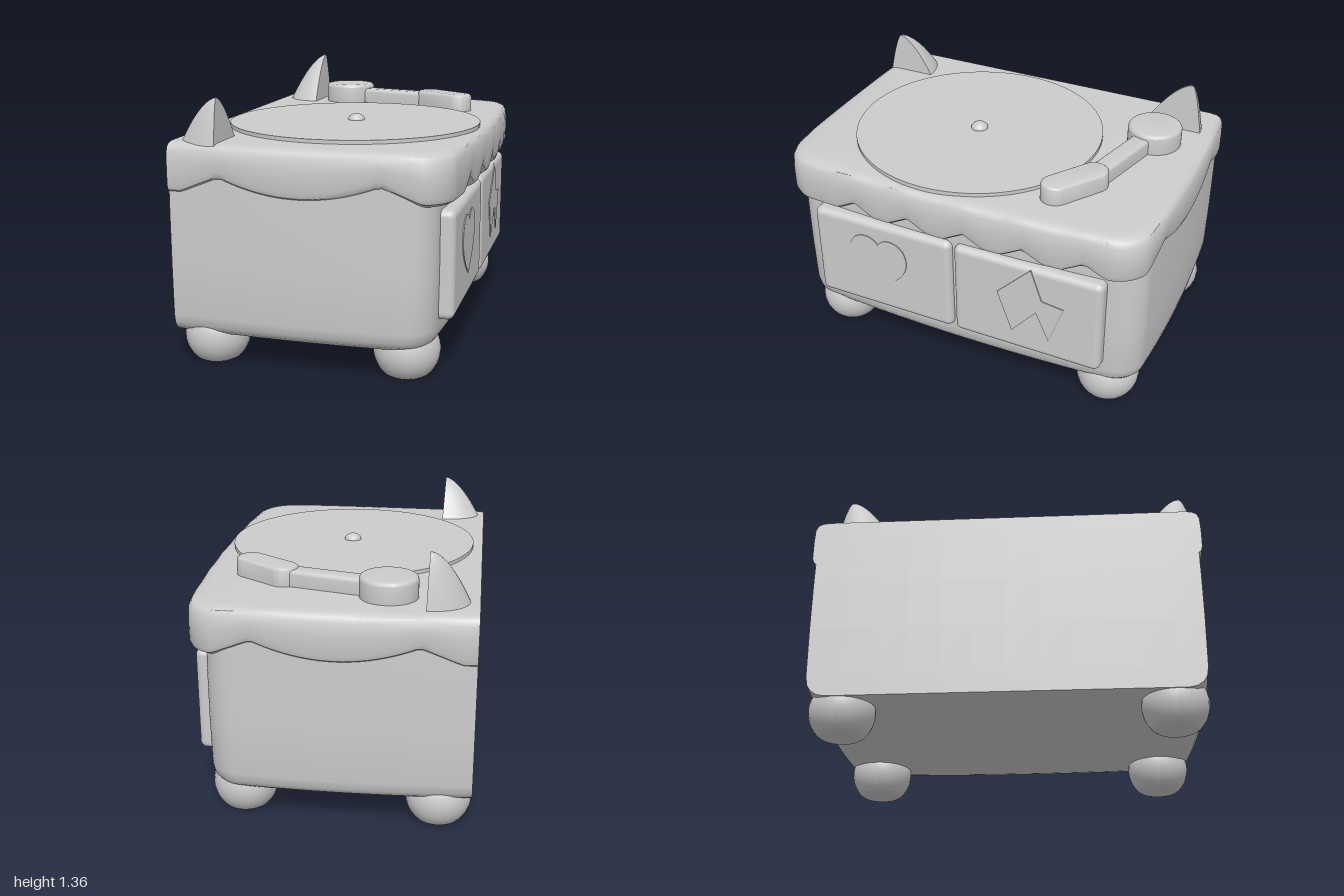
import * as THREE from 'three';
import { toCreasedNormals } from 'three/addons/utils/BufferGeometryUtils.js';
import { RoundedBoxGeometry } from 'three/addons/geometries/RoundedBoxGeometry.js';

const BACK = -0.69;

// Skin a stack of closed rings (bottom to top) and cap both ends
function loft(rings, crease = 0.65) {
  const n = rings[0].length, pos = [], idx = [];
  rings.forEach(r => r.forEach(p => pos.push(p.x, p.y, p.z)));
  for (let r = 0; r < rings.length - 1; r++) {
    for (let i = 0; i < n; i++) {
      const a = r * n + i, b = r * n + (i + 1) % n;
      idx.push(a, b, b + n, a, b + n, a + n);
    }
  }
  for (const r of [0, rings.length - 1]) {
    const c = new THREE.Vector3();
    rings[r].forEach(p => c.addScaledVector(p, 1 / n));
    const ci = pos.length / 3;
    pos.push(c.x, c.y, c.z);
    for (let i = 0; i < n; i++) {
      const a = r * n + i, b = r * n + (i + 1) % n;
      if (r === 0) idx.push(ci, b, a); else idx.push(ci, a, b);
    }
  }
  const g = new THREE.BufferGeometry();
  g.setAttribute('position', new THREE.Float32BufferAttribute(pos, 3));
  g.setIndex(idx);
  return toCreasedNormals(g, crease);
}

// Cabinet outline: square back corners, round front corners, bulging sides
function outline(front, half, inset, radius, yAt) {
  const xf = front - inset, zh = half - inset, pts = [];
  const add = (x, z) => {
    const u = (x - BACK) / (xf - BACK);
    const px = x - 0.045 * z * z * u * u;
    const pz = z * (1 - 0.035 * Math.pow(x / 0.7, 2));
    pts.push(new THREE.Vector3(px, yAt(px, pz, u), pz));
  };
  const half1 = [];
  for (let i = 0; i <= 40; i++) half1.push([BACK + (xf - radius - BACK) * i / 40, zh]);
  for (let i = 1; i <= 10; i++) {
    const a = i / 10 * Math.PI / 2;
    half1.push([xf - radius + radius * Math.sin(a), zh - radius + radius * Math.cos(a)]);
  }
  half1.forEach(([x, z]) => add(x, z));
  for (let i = 1; i < 80; i++) add(xf, (zh - radius) * (1 - i / 40));
  half1.reverse().forEach(([x, z]) => add(x, -z));
  for (let i = 1; i < 12; i++) add(BACK, -zh * (1 - i / 6));
  return pts;
}

// Lower edge of the lid skirt: swags along the sides, small points along the front
function skirtY(x, z, u) {
  if (u > 0.97 && Math.abs(z) < 0.84) {
    let lift = 0;
    for (let k = 0; k < 5; k++) lift = Math.max(lift, 1 - Math.abs(z - 0.54 + 0.31 * k) / 0.11);
    return 0.885 + 0.06 * lift;
  }
  if (Math.abs(z) < 0.85) return 0.885;
  const d = Math.abs(x + 0.04) / 0.39;
  return 0.885 + 0.08 * (d < 1 ? d * d : Math.max(0, 1 - (d - 1) / 0.5));
}

// Upright slab with round ends running between two points on the lid
function bar(x1, z1, x2, z2, r, bottom, top) {
  const a = Math.atan2(-(z2 - z1), x2 - x1), s = new THREE.Shape();
  s.absarc(x2, -z2, r, a - Math.PI / 2, a + Math.PI / 2);
  s.absarc(x1, -z1, r, a + Math.PI / 2, a + Math.PI * 1.5);
  const b = 0.02;
  const g = new THREE.ExtrudeGeometry(s, {
    depth: top - bottom - 2 * b, bevelThickness: b, bevelSize: b, bevelOffset: -b,
    bevelSegments: 4, curveSegments: 20,
  });
  g.rotateX(-Math.PI / 2).translate(0, bottom + b, 0);
  return toCreasedNormals(g, 0.6);
}

// Ear: flat on its front, rounded on its back, narrowing to a blunt tip
function ear(z0, z1, tipZ, base, top, depth) {
  const rings = [];
  for (let i = 0; i <= 14; i++) {
    const t = Math.sin(i / 14 * Math.PI / 2);
    const w = Math.max(0.004, Math.pow(1 - t, 0.62));
    const mid = THREE.MathUtils.lerp(tipZ, (z0 + z1) / 2, w);
    const ring = [];
    for (let k = 0; k <= 20; k++) {
      const a = k / 20 * Math.PI;
      ring.push(new THREE.Vector3(
        -0.447 - 0.01 * t - depth * w * Math.sin(a),
        base + (top - base) * t,
        mid - (z1 - z0) / 2 * w * Math.cos(a)));
    }
    rings.push(ring);
  }
  return loft(rings);
}

// Thin plate on a drawer front, drawn in (z, y)
function plate(shape) {
  const g = new THREE.ExtrudeGeometry(shape, { depth: 0.008, bevelEnabled: false, curveSegments: 16 });
  return g.rotateY(Math.PI / 2).translate(0.66, 0, 0);
}

export function createModel() {
  const model = new THREE.Group();
  const grey = new THREE.MeshStandardMaterial({ color: 0xcccccc });
  grey.name = 'plain grey';
  const add = (name, geometry, parent = model) => {
    const m = new THREE.Mesh(geometry, grey);
    m.name = name;
    parent.add(m);
    return m;
  };

  // Cabinet body with rounded lower edge
  const bodyRings = [[0.1, 0.15], [0.06, 0.158], [0.03, 0.178], [0.012, 0.205], [0.004, 0.25],
    [0, 0.5], [0, 0.75], [0.004, 1.0]];
  add('cabinet', loft(bodyRings.map(([d, y]) => outline(0.625, 0.985, d, 0.13, () => y))));

  // Lid with a scalloped skirt
  const lidRings = [[0.085, 0, -0.05], [0.035, 0, -0.03], [0.008, 0, -0.012], [0, 0, 0.012],
    [0, 0.5, 0], [0.004, 0.8, 0], [0.016, 0.92, 0], [0.04, 0.98, 0], [0.075, 1, 0]];
  add('lid', loft(lidRings.map(([d, t, dy]) => outline(0.705, 1.003, d, 0.15,
    (x, z, u) => THREE.MathUtils.lerp(skirtY(x, z, u), 1.1, t) + dy))));

  // Turntable platter and spindle
  add('platter', new THREE.CylinderGeometry(0.65, 0.65, 0.05, 72).translate(0.01, 1.094, 0.16));
  add('spindle', new THREE.SphereGeometry(0.045, 24, 12, 0, Math.PI * 2, 0, Math.PI / 2)
    .scale(1, 0.75, 1).translate(0.015, 1.117, 0.16));

  // Tone arm
  const arm = new THREE.Group();
  arm.name = 'toneArm';
  model.add(arm);
  add('armPivot', bar(-0.265, -0.715, -0.26, -0.714, 0.138, 1.06, 1.205), arm);
  add('armRod', bar(-0.24, -0.705, 0.24, -0.585, 0.05, 1.06, 1.18), arm);
  add('armHead', bar(0.26, -0.58, 0.445, -0.455, 0.073, 1.06, 1.192), arm);

  // Ears
  add('rightEar', ear(-0.91, -0.58, -0.84, 1.07, 1.36, 0.21));
  add('leftEar', ear(0.69, 0.97, 0.9, 1.07, 1.31, 0.225));

  // Feet, flattened where they touch the ground
  for (const [x, z, name] of [[0.435, 0.775, 'frontFoot'], [-0.525, 0.8, 'backFoot']]) {
    for (const side of [1, -1]) {
      const g = new THREE.SphereGeometry(0.162, 32, 24).translate(x, 0.125, z * side);
      const p = g.attributes.position;
      for (let i = 0; i < p.count; i++) p.setY(i, Math.max(0, p.getY(i)));
      g.computeVertexNormals();
      add(name, g);
    }
  }

  // Drawers
  for (const z of [0.412, -0.4]) {
    add('drawer', new RoundedBoxGeometry(0.1, 0.53, 0.795, 5, 0.035).translate(0.613, 0.55, z));
  }

  // Heart plate
  const heart = new THREE.Shape();
  heart.moveTo(-0.43, 0.415);
  heart.bezierCurveTo(-0.35, 0.47, -0.265, 0.54, -0.265, 0.62);
  heart.bezierCurveTo(-0.265, 0.74, -0.39, 0.76, -0.43, 0.69);
  heart.bezierCurveTo(-0.47, 0.76, -0.6, 0.74, -0.6, 0.62);
  heart.bezierCurveTo(-0.6, 0.54, -0.51, 0.47, -0.43, 0.415);
  add('heartPlate', plate(heart));

  // Angular star plate
  const star = new THREE.Shape([[0.43, 0.805], [0.25, 0.62], [0.33, 0.4], [0.46, 0.555],
    [0.53, 0.4], [0.605, 0.62], [0.49, 0.635]].map(([x, y]) => new THREE.Vector2(x, y)));
  add('starPlate', plate(star));

  return model;
}
